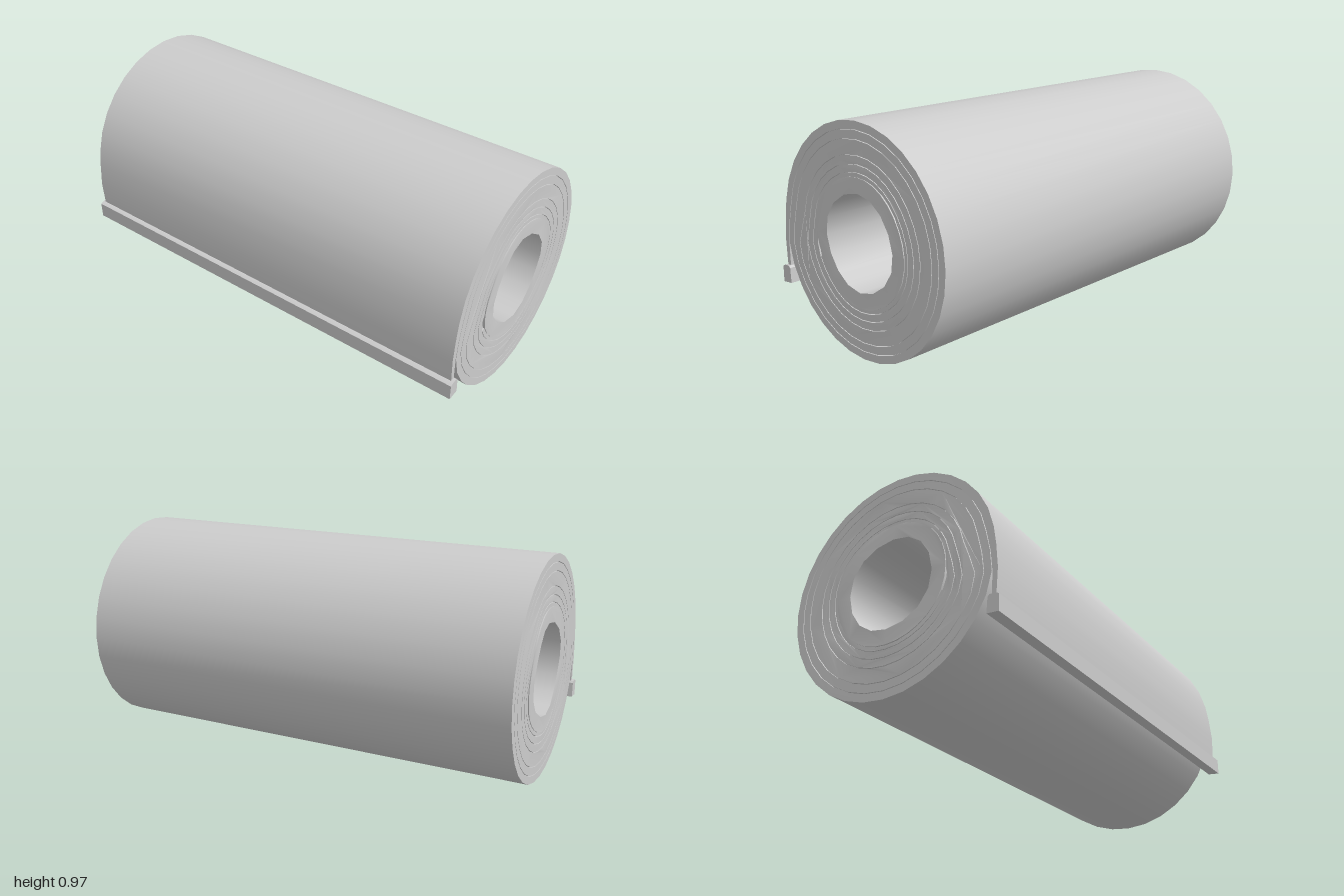
import * as THREE from 'three';
import { toCreasedNormals } from 'three/addons/utils/BufferGeometryUtils.js';

const CX = 0.012, CY = 0.485, HALF = 0.988, SIDES = 32;
const LAYERS = [0.483, 0.447, 0.41, 0.348, 0.312, 0.28, 0.245]; // outer radius of each turn

// Radius after a number of turns: nearly round, stepping inward beneath the loose flap
function radius(turns) {
  const t = Math.max(0, turns - 0.03), k = Math.min(Math.floor(t), LAYERS.length - 1);
  const next = LAYERS[Math.min(k + 1, LAYERS.length - 1)];
  return THREE.MathUtils.lerp(LAYERS[k], next, THREE.MathUtils.smoothstep(t - k, 0.92, 1));
}

// Turns start at the front (+z) and run up, over the back and underneath
function point(turns, r) {
  const a = Math.PI - turns * Math.PI * 2;
  return new THREE.Vector2(CX + r * Math.cos(a), CY + r * Math.sin(a));
}

// Extrude an end profile (x = -z, y = y) along the roll, with slightly wavy inner ends
function extrudeAlongX(shape, half, wave = 0) {
  const g = new THREE.ExtrudeGeometry(shape, { depth: half * 2, bevelEnabled: false });
  g.translate(0, 0, -half);
  g.rotateY(Math.PI / 2);
  const p = g.attributes.position;
  for (let i = 0; i < p.count; i++) {
    const y = p.getY(i) - CY, z = p.getZ(i) + CX;
    const inner = THREE.MathUtils.clamp((0.42 - Math.hypot(y, z)) / 0.12, 0, 1);
    const d = wave * inner * Math.sin(3 * Math.atan2(y, z));
    p.setX(i, p.getX(i) + Math.sign(p.getX(i)) * d);
  }
  return toCreasedNormals(g, 0.6);
}

// Round profile with a round hole
function ringShape(outer, hole, holeSides) {
  const circle = (r, n) => Array.from({ length: n }, (_, i) => point(i / n, r));
  const shape = new THREE.Shape(circle(outer, SIDES));
  shape.holes.push(new THREE.Path(circle(hole, holeSides).reverse()));
  return shape;
}

export function createModel() {
  const group = new THREE.Group();
  const grey = new THREE.MeshStandardMaterial({ color: 0xcccccc });
  grey.name = 'plain grey';
  const add = (name, geometry) => {
    const mesh = new THREE.Mesh(geometry, grey);
    mesh.name = name;
    group.add(mesh);
  };

  // Rolled sheet: loose flap, outer face inward, then back along the inner face
  const turns = LAYERS.length - 1, outline = [], back = [];
  for (let i = 1; i < (turns - 0.06) * SIDES; i++) {
    const t = i / SIDES;
    outline.push(point(t, radius(t)));
    back.unshift(point(t, radius(t + 1) + 0.003));
  }
  const flapOuter = [[-0.478, 0.28], [-0.483, 0.4], [-0.474, 0.5]];
  const flapInner = [[-0.45, 0.48], [-0.46, 0.39], [-0.459, 0.28]];
  const toVectors = (list) => list.map(([x, y]) => new THREE.Vector2(x, y));
  const sheet = new THREE.Shape([...toVectors(flapOuter), ...outline, ...back, ...toVectors(flapInner)]);
  add('rolledSheet', extrudeAlongX(sheet, HALF, 0.004));

  // Recessed packing that closes the gaps between turns
  add('gapPacking', extrudeAlongX(ringShape(0.46, 0.23, SIDES), 0.978));

  // Thick innermost ring with an open hole
  add('innerRing', extrudeAlongX(ringShape(0.264, 0.2, 16), 0.992, 0.004));

  // Hem bar along the loose edge
  const bar = new THREE.Shape(toVectors([
    [-0.498, 0.213], [-0.446, 0.217], [-0.449, 0.283], [-0.457, 0.291], [-0.482, 0.291], [-0.498, 0.283],
  ]));
  add('hemBar', extrudeAlongX(bar, 1));

  return group;
}
